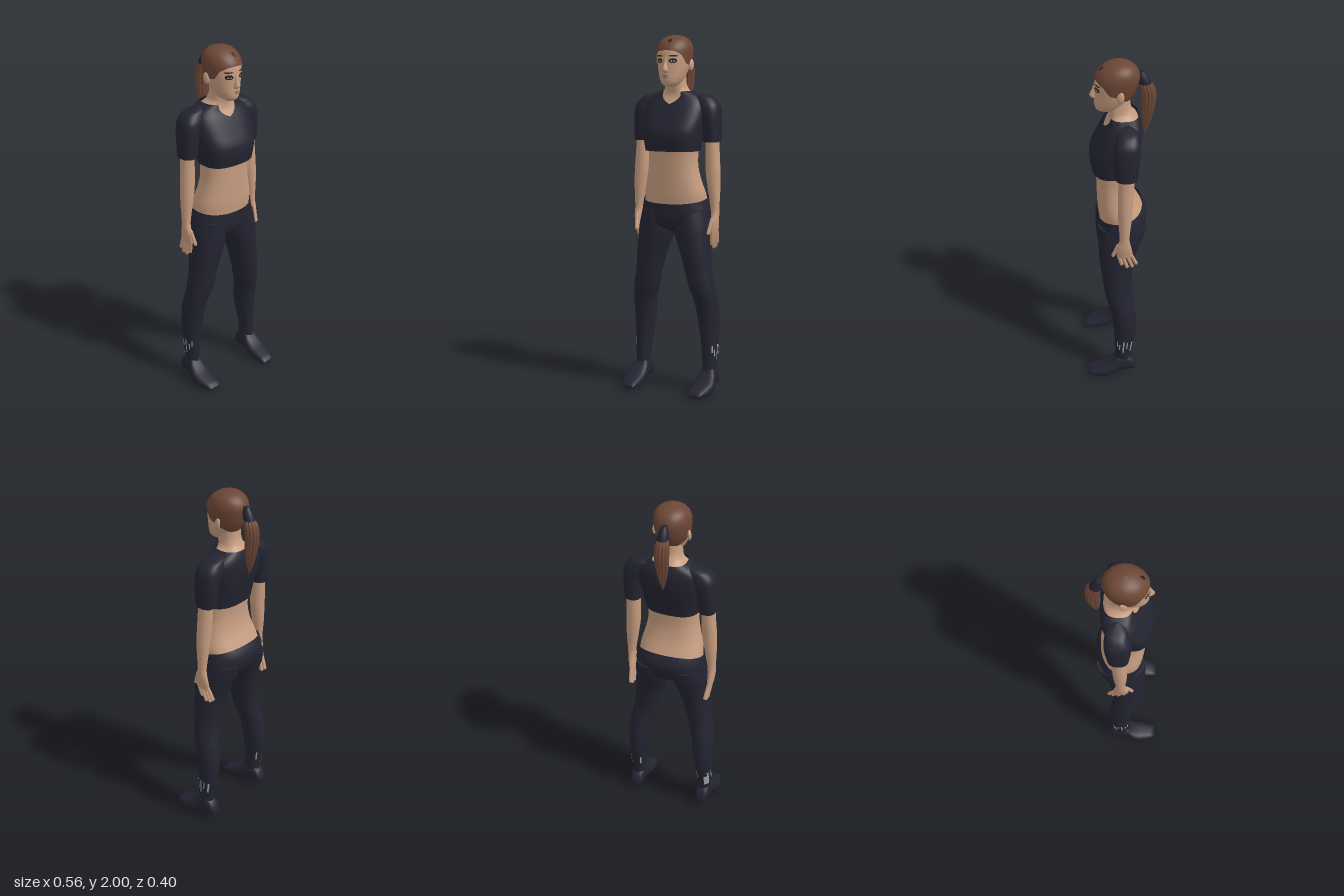
import * as THREE from 'three';

const mat = (name, color, side = THREE.FrontSide) => {
  const m = new THREE.MeshStandardMaterial({ color, side });
  m.name = name;
  return m;
};

// Smooth body surface through rings [height, centreX, halfWidth, zFront, zBack].
// The result gives the point at angle a (0 = front, +PI/2 = +x) and height y.
function surface(rings, e = 1) {
  const slope = (i, k) => {
    const p = rings[Math.max(i - 1, 0)], q = rings[Math.min(i + 1, rings.length - 1)];
    return (q[k] - p[k]) / (q[0] - p[0]);
  };
  const pw = v => Math.sign(v) * Math.abs(v) ** e;
  const at = (a, y, off = 0) => {
    let i = 0;
    while (i < rings.length - 2 && y > rings[i + 1][0]) i++;
    const A = rings[i], B = rings[i + 1], h = B[0] - A[0];
    const t = THREE.MathUtils.clamp((y - A[0]) / h, 0, 1), t2 = t * t, t3 = t2 * t;
    const f = k => (2 * t3 - 3 * t2 + 1) * A[k] + (t3 - 2 * t2 + t) * h * slope(i, k)
      + (3 * t2 - 2 * t3) * B[k] + (t3 - t2) * h * slope(i + 1, k);
    const rx = Math.max(f(2), 0), zf = f(3), zb = f(4), o = off * Math.min(1, rx / 0.03);
    return new THREE.Vector3(f(1) + (rx + o) * pw(Math.sin(a)), y,
      (zf + zb) / 2 + ((zf - zb) / 2 + o) * pw(Math.cos(a)));
  };
  at.lo = rings[0][0];
  at.hi = rings[rings.length - 1][0];
  return at;
}

// Indexed mesh from rows of points; closed rows wrap around
function skinRows(rows, closed) {
  const n = rows[0].length, pos = [], idx = [];
  rows.forEach(r => r.forEach(p => pos.push(p.x, p.y, p.z)));
  for (let j = 0; j < rows.length - 1; j++) {
    for (let i = 0; i < (closed ? n : n - 1); i++) {
      const a = j * n + i, b = j * n + (i + 1) % n;
      idx.push(a, b, b + n, a, b + n, a + n);
    }
  }
  const g = new THREE.BufferGeometry();
  g.setAttribute('position', new THREE.Float32BufferAttribute(pos, 3));
  g.setIndex(idx);
  g.computeVertexNormals();
  return g;
}

// Full tube of a surface, with optional edge curves lo(a), hi(a) and flat end caps
function loft(at, { lo = () => at.lo, hi = () => at.hi, off = 0, caps = true, seg = 40, steps = 36 } = {}) {
  const rows = [];
  for (let j = 0; j <= steps; j++) {
    rows.push(Array.from({ length: seg }, (_, i) => {
      const a = -Math.PI + i / seg * 2 * Math.PI, l = lo(a);
      return at(a, l + (hi(a) - l) * j / steps, off);
    }));
  }
  if (caps) {
    const capRows = r => {
      const c = r.reduce((s, p) => s.add(p), new THREE.Vector3()).divideScalar(seg);
      return [r.map(() => c), r];
    };
    rows.unshift(...capRows(rows[0]));
    rows.push(...capRows(rows[rows.length - 1]).reverse());
  }
  return skinRows(rows, true);
}

// Thin lens-shaped (or square) plate lying on a surface
function plate(at, a, halfA, y, halfY, off = 0.003, square = false) {
  const rows = [];
  for (let j = 0; j <= 4; j++) {
    rows.push(Array.from({ length: 11 }, (_, i) => {
      const u = i / 5 - 1, h = square ? halfY : halfY * Math.sqrt(1 - u * u);
      return at(a + u * halfA, y + h * (j / 2 - 1), off);
    }));
  }
  return skinRows(rows, false);
}

// Linear interpolation through [x, y] points
const curve = pts => x => {
  let i = 0;
  while (i < pts.length - 2 && x > pts[i + 1][0]) i++;
  const [a, b] = [pts[i], pts[i + 1]];
  return a[1] + (b[1] - a[1]) * Math.min(1, (x - a[0]) / (b[0] - a[0]));
};

export function createModel() {
  const model = new THREE.Group();
  const skin = mat('skin', 0xc79d80), cloth = mat('dark cloth', 0x232431, THREE.DoubleSide);
  const hair = mat('brown hair', 0x6c4635, THREE.DoubleSide), makeup = mat('eye makeup', 0x2a201e);
  const lip = mat('lips', 0xa07262), white = mat('eye white', 0xb8b0aa), grey = mat('ankle grey', 0xa3a3ae);
  const add = (name, geo, material, parent = model) => {
    const m = new THREE.Mesh(geo, material);
    m.name = name;
    parent.add(m);
    return m;
  };

  // Bare torso and neck
  add('torso', loft(surface([
    [1.02, 0, .18, .105, -.135], [1.08, 0, .18, .112, -.138], [1.13, 0, .176, .116, -.115], [1.2, 0, .158, .118, -.085],
    [1.28, 0, .143, .12, -.07], [1.37, 0, .143, .125, -.075], [1.44, 0, .15, .138, -.088], [1.55, 0, .165, .107, -.112],
    [1.62, 0, .16, .07, -.115], [1.66, 0, .138, .048, -.108], [1.685, 0, .085, .045, -.095], [1.7, 0, .066, .048, -.083],
    [1.74, 0, .056, .054, -.066], [1.82, 0, .054, .05, -.062]], .85), { steps: 60 }), skin);

  // Cropped top with a V neckline
  add('croppedTop', loft(surface([
    [1.365, 0, .152, .145, -.083], [1.43, 0, .162, .155, -.096], [1.48, 0, .17, .151, -.108], [1.55, 0, .18, .118, -.122],
    [1.62, 0, .175, .08, -.125], [1.66, 0, .148, .056, -.118], [1.695, 0, .088, .048, -.106]], .75),
  { hi: a => 1.622 + .07 * Math.min(1, Math.abs(a) / .45), caps: false, seg: 64 }), cloth);

  // Waist and seat of the leggings
  add('leggingsHips', loft(surface([
    [.91, 0, .04, .03, -.04], [.94, 0, .14, .1, -.1], [.98, 0, .195, .12, -.135], [1.03, 0, .2, .123, -.154],
    [1.07, 0, .194, .122, -.157], [1.1, 0, .188, .12, -.147], [1.14, 0, .182, .12, -.123]], .9),
  { hi: a => 1.1 - .027 * Math.cos(a), caps: false }), cloth);

  for (const s of [1, -1]) {
    const side = s > 0 ? 'left' : 'right';
    const limb = (rings, e) => surface(rings.map(([y, x, ...r]) => [y, x * s, ...r]), e);

    // Sleeve and shoulder
    add(side + 'Sleeve', loft(limb([
      [1.415, .212, .048, .03, -.085], [1.48, .21, .051, .036, -.092], [1.55, .206, .054, .04, -.099],
      [1.61, .192, .061, .036, -.1], [1.645, .17, .06, .022, -.093], [1.67, .145, .045, .005, -.08],
      [1.682, .115, .008, -.03, -.045]], .85)), cloth);

    // Arm and palm
    add(side + 'Arm', loft(limb([
      [.905, .232, .014, .022, -.062], [.93, .234, .017, .03, -.06], [.98, .238, .02, .028, -.05],
      [1.02, .238, .022, .014, -.042], [1.06, .236, .025, .013, -.043], [1.15, .23, .034, .019, -.053],
      [1.25, .222, .041, .021, -.06], [1.35, .217, .039, .019, -.066], [1.46, .213, .038, .015, -.07]]),
    { seg: 24 }), skin);

    // Fingers and thumb as capsules from knuckle to tip
    const fingers = [
      [.02, .925, .0, .85], [-.004, .915, -.03, .828], [-.029, .915, -.058, .832], [-.05, .92, -.08, .85], [.022, .985, .047, .915]];
    fingers.forEach(([z0, y0, z1, y1], i) => {
      const a = new THREE.Vector3(s * .233, y0, z0), b = new THREE.Vector3(s * .224, y1, z1);
      const d = b.clone().sub(a);
      const f = add(side + (i === 4 ? 'Thumb' : 'Finger'), new THREE.CapsuleGeometry(.0105, d.length(), 4, 8), skin);
      f.position.copy(a).add(b).multiplyScalar(.5);
      f.quaternion.setFromUnitVectors(new THREE.Vector3(0, 1, 0), d.normalize());
    });

    // Leg
    const leg = limb([
      [.1, .21, .038, .036, -.055], [.2, .211, .042, .038, -.066], [.3, .206, .05, .041, -.084], [.4, .2, .06, .048, -.09],
      [.5, .194, .065, .066, -.079], [.6, .172, .073, .09, -.062], [.7, .152, .076, .103, -.066], [.8, .134, .086, .114, -.08],
      [.9, .113, .101, .121, -.108], [.95, .106, .104, .122, -.13], [1.03, .1, .094, .119, -.15]]);
    add(side + 'Leg', loft(leg, { steps: 50 }), cloth);

    // Worn grey streaks above the ankle
    const streaks = [[.75, .07, .25, .02], [1.05, .06, .23, .02], [1.45, .07, .23, .045], [1.8, .06, .245, .025],
      [2.3, .1, .23, .035], [-2.5, .09, .235, .03]];
    if (s < 0) streaks.push([2.45, .38, .2, .035]);
    for (const [a, w, y, h] of streaks) add('ankleStreak', plate(leg, s * a, w, y, h, .003, true), grey);

    // Shoe, lofted from heel to toe and laid along z
    const shoe = add(side + 'Shoe', loft(limb([
      [-.088, .212, .02, -.045, -.07], [-.075, .211, .034, -.033, -.105], [-.03, .211, .042, -.033, -.142],
      [.02, .212, .046, -.028, -.142], [.05, .215, .056, -.018, -.112], [.09, .217, .061, -.008, -.085],
      [.14, .214, .054, -.003, -.064], [.185, .209, .043, -.005, -.045], [.2, .207, .033, -.012, -.03]], .75),
    { seg: 32 }), cloth);
    shoe.rotation.x = Math.PI / 2;
  }

  // Head
  const headRings = [
    [1.715, 0, .02, .095, .04], [1.73, 0, .044, .117, 0], [1.755, 0, .06, .124, -.03], [1.79, 0, .074, .124, -.06],
    [1.83, 0, .084, .124, -.085], [1.87, 0, .09, .124, -.1], [1.92, 0, .092, .116, -.107], [1.96, 0, .079, .088, -.09],
    [1.985, 0, .052, .052, -.06], [1.996, 0, .022, .02, -.028], [2, 0, .001, -.002, -.004]];
  const head = surface(headRings);
  add('head', loft(head), skin);
  add('nose', loft(surface([
    [1.793, 0, .012, .132, .1], [1.803, 0, .017, .148, .1], [1.816, 0, .014, .149, .1], [1.845, 0, .009, .136, .1],
    [1.88, 0, .008, .124, .1]]), { seg: 16, steps: 14 }), skin);
  add('upperLip', plate(head, 0, .25, 1.777, .005, .006), lip);
  add('lowerLip', plate(head, 0, .2, 1.768, .005, .006), lip);
  for (const s of [1, -1]) {
    add('eyeMakeup', plate(head, s * .46, .25, 1.858, .013, .002), makeup);
    add('eyeWhite', plate(head, s * .45, .13, 1.856, .005, .0035), white);
    add('iris', plate(head, s * .45, .045, 1.857, .005, .005), makeup);
    add('eyebrow', plate(head, s * .48, .28, 1.884, .004, .003), makeup);
    const ear = add('ear', new THREE.SphereGeometry(1, 16, 12), skin);
    ear.scale.set(.011, .032, .02);
    ear.position.set(s * .094, 1.837, -.004);
    ear.rotation.set(-.2, s * -.3, 0);
  }

  // Swept-back hair following a hairline
  const hairline = curve([[0, 1.915], [.5, 1.91], [.9, 1.89], [1.25, 1.845], [1.6, 1.835], [2, 1.81], [2.6, 1.785], [3.15, 1.775]]);
  add('hairCap', loft(head, { lo: a => hairline(Math.abs(a)), off: .006, caps: false, seg: 56 }), hair);
  add('partingMark', plate(head, .12, .12, 1.966, .01, .008), makeup);

  // Ponytail with strand ridges, and its band
  const tail = surface([
    [1.57, 0, .004, -.14, -.148], [1.62, 0, .017, -.128, -.166], [1.7, 0, .031, -.124, -.186], [1.78, 0, .037, -.124, -.197],
    [1.84, 0, .034, -.118, -.189], [1.88, 0, .024, -.112, -.163], [1.93, 0, .012, -.105, -.135]]);
  const strands = (a, y) => tail(a, y, .003 * Math.cos(12 * a));
  Object.assign(strands, { lo: tail.lo, hi: tail.hi });
  add('ponytail', loft(strands, { seg: 72 }), hair);
  add('hairBand', loft(surface([
    [1.868, 0, .031, -.108, -.174], [1.9, 0, .026, -.1, -.16], [1.935, 0, .014, -.095, -.136]]), { seg: 20, steps: 8 }), cloth);

  return model;
}
